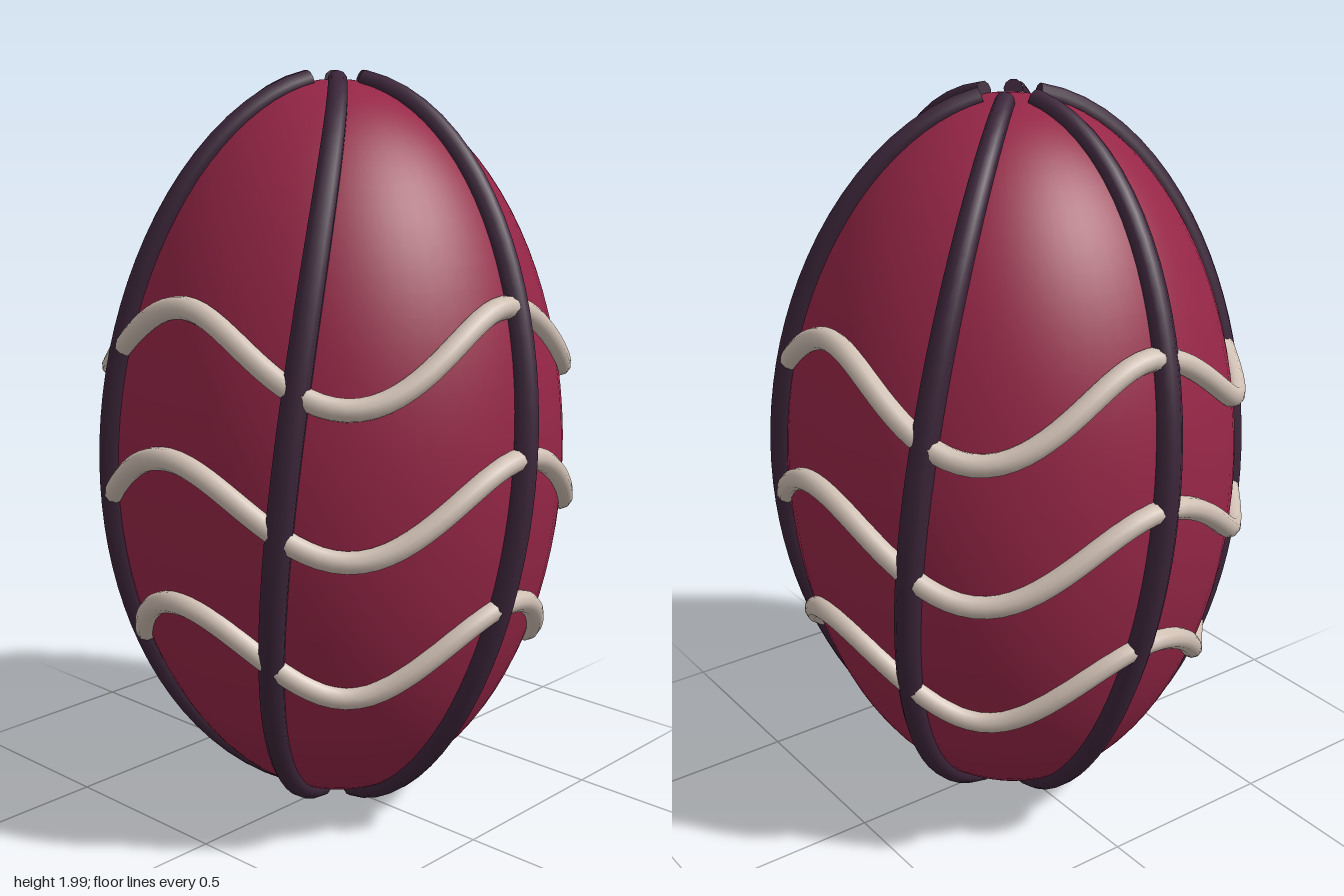
import * as THREE from 'three';

const mat = (name, color) => Object.assign(new THREE.MeshStandardMaterial({ color }), { name });

// Point on an egg-shaped ellipsoid: phi from the top pole, theta around y
const onEgg = (a, b, c, phi, theta) => new THREE.Vector3(
  a * Math.sin(phi) * Math.cos(theta), 1 + b * Math.cos(phi), c * Math.sin(phi) * Math.sin(theta));

// Tube whose thickness follows radiusAt(u)
function taperedTube(curve, segments, sides, radiusAt) {
  const geo = new THREE.TubeGeometry(curve, segments, 1, sides, false);
  const pos = geo.attributes.position, v = new THREE.Vector3();
  for (let i = 0; i <= segments; i++) {
    const centre = curve.getPointAt(i / segments), r = radiusAt(i / segments);
    for (let j = 0; j <= sides; j++) {
      const k = i * (sides + 1) + j;
      v.fromBufferAttribute(pos, k).sub(centre).multiplyScalar(r).add(centre);
      pos.setXYZ(k, v.x, v.y, v.z);
    }
  }
  return geo;
}

export function createModel() {
  const model = new THREE.Group();
  model.name = 'decoratedEgg';
  const red = mat('crimson shell', 0x962647);
  const dark = mat('dark plum ribs', 0x3b2539);
  const cream = mat('cream bands', 0xd0c0b4);
  const add = (geo, material, name, parent = model) => {
    const mesh = new THREE.Mesh(geo, material);
    mesh.name = name;
    parent.add(mesh);
    return mesh;
  };

  // Shell
  const shell = add(new THREE.SphereGeometry(1, 64, 48), red, 'shell');
  shell.scale.set(0.62, 0.97, 0.59);
  shell.position.y = 1;

  // Six ribs, twisting slightly from pole to pole
  const tip = 0.13, ribSteps = 32;
  for (let i = 0; i < 6; i++) {
    const rib = new THREE.Group();
    rib.name = 'rib' + (i + 1);
    model.add(rib);
    const points = [];
    for (let k = 0; k <= ribSteps; k++) {
      const phi = tip + (Math.PI - 2 * tip) * k / ribSteps;
      points.push(onEgg(0.627, 0.977, 0.598, phi, i * Math.PI / 3 + 0.183 * (phi - Math.PI / 2)));
    }
    const curve = new THREE.CatmullRomCurve3(points);
    const radius = u => 0.025 + 0.01 * Math.sin(Math.PI * u);
    add(taperedTube(curve, 40, 10, radius), dark, 'ribTube', rib);
    // Flat end caps
    for (const u of [0, 1]) {
      const cap = add(new THREE.CircleGeometry(radius(u), 10), dark, 'ribCap', rib);
      const p = curve.getPointAt(u), t = curve.getTangentAt(u);
      cap.position.copy(p);
      cap.lookAt(p.clone().addScaledVector(t, u ? 1 : -1));
    }
  }

  // Three wavy bands, each with four crests lying on the shell
  [1.33, 0.963, 0.585].forEach((height, i) => {
    const points = [];
    for (let k = 0; k < 64; k++) {
      const theta = k / 64 * Math.PI * 2;
      const y = height + 0.105 * Math.cos(4 * theta);
      points.push(onEgg(0.625, 0.975, 0.597, Math.acos((y - 1) / 0.975), theta));
    }
    const curve = new THREE.CatmullRomCurve3(points, true);
    add(new THREE.TubeGeometry(curve, 128, 0.029, 10, true), cream, 'wavyBand' + (i + 1));
  });

  return model;
}
